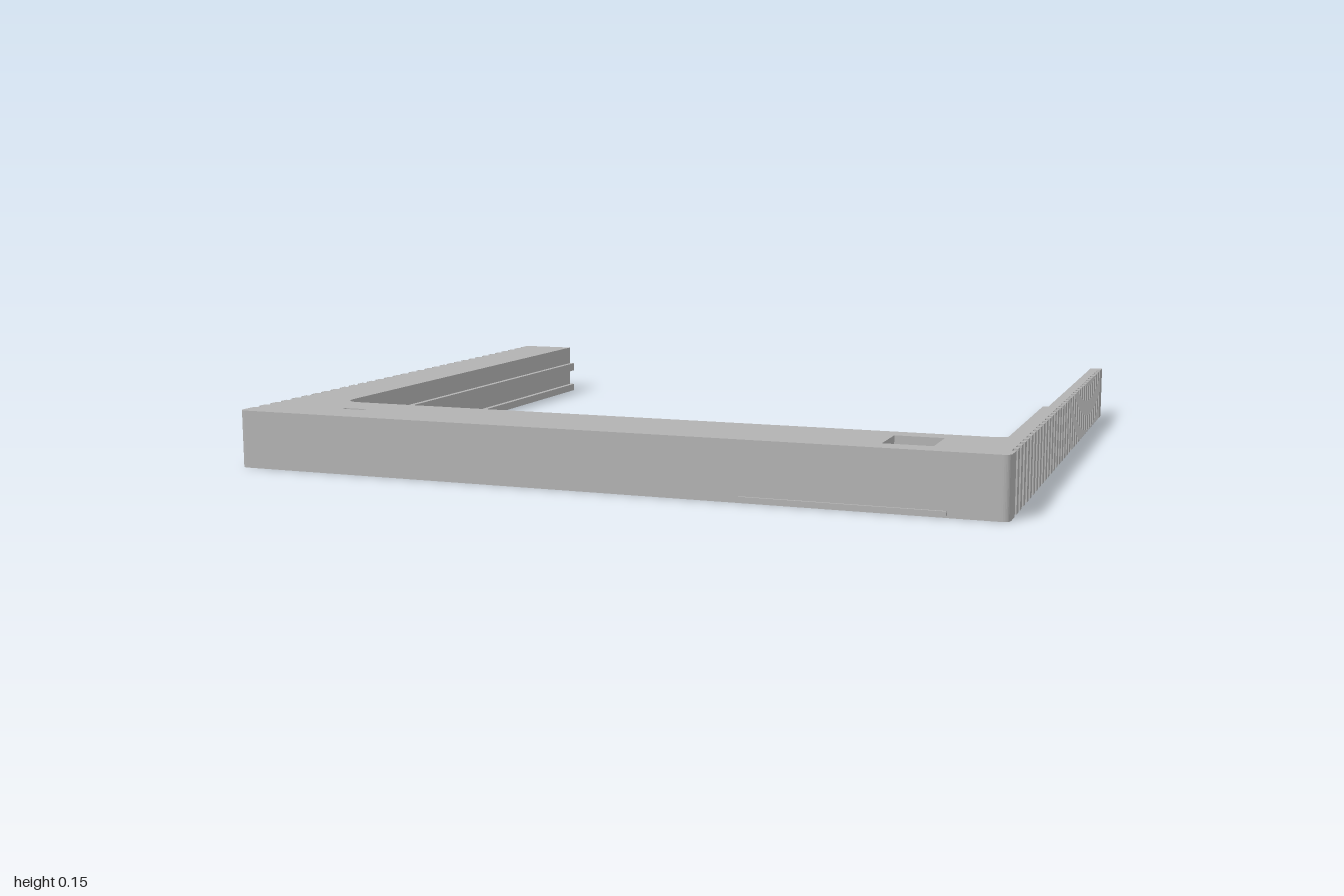
import * as THREE from 'three';

const H = 0.15, PLATE = 0.022, BACK = -0.84, FRONT = 0.84;
const GROOVES = 33, PITCH = 0.048, DEPTH = 0.01, FIRST = -0.785;

// Open frame outline drawn in (x, -z), with vertical grip grooves down both outer sides
function frameOutline({ left, right, inner, radius, leftBack }) {
  const s = new THREE.Shape();
  const to = (x, z) => s.lineTo(x, -z);
  const bend = (cx, cz, x, z) => s.quadraticCurveTo(cx, -cz, x, -z);
  const c = 0.02;
  s.moveTo(-1, -leftBack);
  for (let i = 0; i < GROOVES; i++) {
    const z = FIRST + i * PITCH, e = z + PITCH / 2;
    to(-1, z); to(-1 + DEPTH, z); to(-1 + DEPTH, e); to(-1, e);
  }
  to(-1, FRONT - c); bend(-1, FRONT, -1 + c, FRONT);
  to(1 - c, FRONT); bend(1, FRONT, 1, FRONT - c);
  for (let i = GROOVES - 1; i >= 0; i--) {
    const z = FIRST + i * PITCH, e = z + PITCH / 2;
    to(1, e); to(1 - DEPTH, e); to(1 - DEPTH, z); to(1, z);
  }
  to(1, BACK); to(right, BACK);
  to(right, inner - radius);
  if (radius) bend(right, inner, right - radius, inner);
  to(left + radius, inner);
  if (radius) bend(left, inner, left, inner - radius);
  to(left, leftBack);
  s.closePath();
  return s;
}

function rectHole(x0, x1, y0, y1) {
  return new THREE.Path([[x0, y0], [x0, y1], [x1, y1], [x1, y0]].map(p => new THREE.Vector2(...p)));
}

export function createModel() {
  const group = new THREE.Group();
  const grey = new THREE.MeshStandardMaterial({ color: 0xb2b2b2 });
  grey.name = 'light grey';

  const add = (name, geometry) => {
    const mesh = new THREE.Mesh(geometry, grey);
    mesh.name = name;
    group.add(mesh);
    return mesh;
  };
  const box = (name, x0, x1, y0, y1, z0, z1) =>
    add(name, new THREE.BoxGeometry(x1 - x0, y1 - y0, z1 - z0))
      .position.set((x0 + x1) / 2, (y0 + y1) / 2, (z0 + z1) / 2);
  const slab = (name, shape, y, depth) => {
    const g = new THREE.ExtrudeGeometry(shape, { depth, bevelEnabled: false, curveSegments: 8 });
    g.rotateX(-Math.PI / 2);
    add(name, g).position.y = y;
  };

  // Bottom plate with the inner ledge
  const slot = () => rectHole(-0.76, -0.70, -0.727, -0.712);
  const plate = frameOutline({ left: -0.82, right: 0.82, inner: 0.55, radius: 0, leftBack: BACK });
  plate.holes.push(slot());
  slab('bottomPlate', plate, 0, PLATE);

  // Upper body: thick left arm and front rail, thin right wall
  const body = frameOutline({ left: -0.835, right: 0.965, inner: 0.605, radius: 0.05, leftBack: -0.81 });
  body.holes.push(slot(), rectHole(0.695, 0.815, -0.78, -0.66));
  slab('upperBody', body, PLATE, H - PLATE);
  box('recessFloor', 0.695, 0.815, PLATE, 0.05, 0.66, 0.78);

  // Back end of the thick arm, with an upright slot
  const cap = new THREE.Shape([[-1, PLATE], [-0.835, PLATE], [-0.835, H], [-1, H]].map(p => new THREE.Vector2(...p)));
  cap.holes.push(rectHole(-0.925, -0.91, 0.045, 0.115));
  add('armEndCap', new THREE.ExtrudeGeometry(cap, { depth: 0.03, bevelEnabled: false })).position.z = BACK;

  // Guide ridges on the inner faces
  box('armRidge', -0.84, -0.82, 0.07, 0.095, BACK, 0.55);
  box('railRidge', -0.78, 0.34, 0.075, 0.095, 0.588, 0.61);

  // Small raised details on the front and the arm end
  box('frontStrip', 0.37, 0.86, 0.006, 0.016, 0.835, 0.846);
  box('endTab', -0.855, -0.832, 0.01, 0.02, -0.848, -0.835);

  // Small pins in the grooves of the right wall
  for (const z of [-0.55, 0.035, 0.28, 0.38, 0.67, 0.72, 0.77]) {
    const i = Math.round((z - FIRST - PITCH / 4) / PITCH);
    add('groovePin', new THREE.CylinderGeometry(0.006, 0.006, 0.13, 8))
      .position.set(0.991, H / 2, FIRST + (i + 0.25) * PITCH);
  }
  return group;
}
